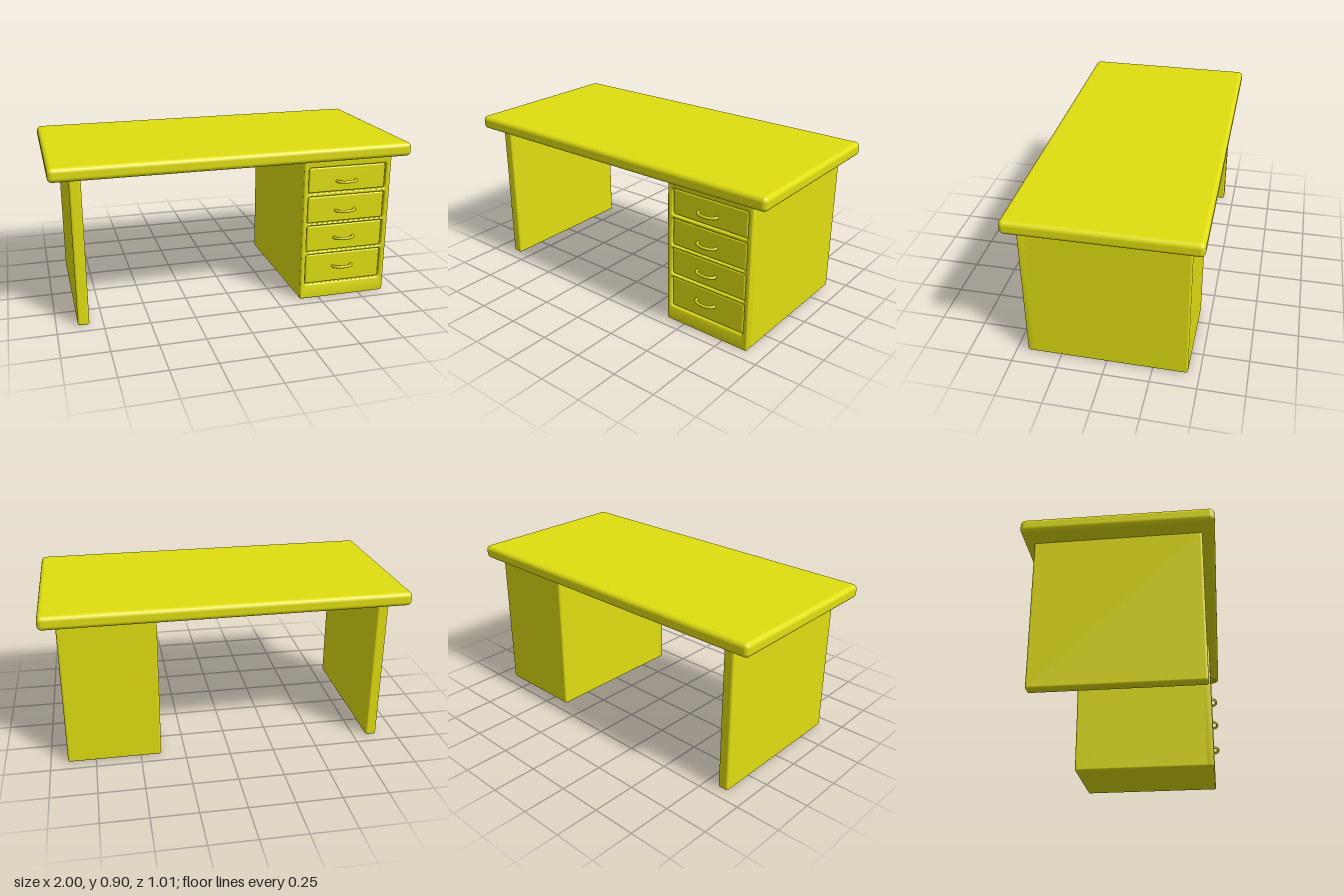
import * as THREE from 'three';
import { RoundedBoxGeometry } from 'three/addons/geometries/RoundedBoxGeometry.js';
import { toCreasedNormals } from 'three/addons/utils/BufferGeometryUtils.js';

const yellow = new THREE.MeshStandardMaterial({ color: 0xe0de10 });

function part(name, geometry) {
  const mesh = new THREE.Mesh(geometry, yellow);
  mesh.name = name;
  return mesh;
}

// Rounded box given by its minimum and maximum corners
function block(name, [x0, y0, z0], [x1, y1, z1], radius) {
  const mesh = part(name, new RoundedBoxGeometry(x1 - x0, y1 - y0, z1 - z0, 4, radius));
  mesh.position.set((x0 + x1) / 2, (y0 + y1) / 2, (z0 + z1) / 2);
  return mesh;
}

function rectangle(Type, x0, y0, x1, y1, r) {
  const p = new Type();
  p.moveTo(x0 + r, y0);
  p.lineTo(x1 - r, y0);
  p.absarc(x1 - r, y0 + r, r, -Math.PI / 2, 0);
  p.lineTo(x1, y1 - r);
  p.absarc(x1 - r, y1 - r, r, 0, Math.PI / 2);
  p.lineTo(x0 + r, y1);
  p.absarc(x0 + r, y1 - r, r, Math.PI / 2, Math.PI);
  p.lineTo(x0, y0 + r);
  p.absarc(x0 + r, y0 + r, r, Math.PI, Math.PI * 1.5);
  return p;
}

// Bowed pull: a slim tube whose ends run back into the drawer front
function handle(y, front) {
  const path = new THREE.CatmullRomCurve3([
    [-0.056, front - 0.01], [-0.054, front + 0.014], [-0.035, front + 0.029],
    [0, front + 0.035], [0.035, front + 0.029], [0.054, front + 0.014], [0.056, front - 0.01],
  ].map(([x, z]) => new THREE.Vector3(0.638 + x, y, z)));
  return part('drawerHandle', new THREE.TubeGeometry(path, 32, 0.008, 10));
}

export function createModel() {
  const desk = new THREE.Group();
  desk.name = 'desk';

  // Worktop, set very slightly askew on its supports
  const top = block('desktop', [-0.996, 0.828, -0.496], [0.996, 0.905, 0.496], 0.026);
  top.rotation.y = 0.0075;
  desk.add(top);

  // Single panel leg
  desk.add(block('panelLeg', [-0.886, 0, -0.437], [-0.824, 0.84, 0.437], 0.012));

  // Drawer cabinet carcass
  const cabinet = new THREE.Group();
  cabinet.name = 'drawerCabinet';
  cabinet.add(block('cabinetBody', [0.385, 0, -0.438], [0.905, 0.84, 0.417], 0.012));

  // Face frame with an opening for each drawer
  const drawers = [[0.64, 0.782], [0.462, 0.614], [0.29, 0.442], [0.092, 0.268]];
  const handleHeights = [0.7, 0.528, 0.364, 0.188];
  const frame = rectangle(THREE.Shape, 0.385, 0, 0.905, 0.84, 0.012);
  for (const [y0, y1] of drawers) {
    frame.holes.push(rectangle(THREE.Path, 0.413, y0 - 0.003, 0.877, y1 + 0.003, 0.014));
  }
  const bevel = 0.008;
  const frameGeometry = new THREE.ExtrudeGeometry(frame, {
    depth: 0.034, bevelThickness: bevel, bevelSize: bevel, bevelOffset: -bevel,
    bevelSegments: 3, curveSegments: 5,
  });
  frameGeometry.translate(0, 0, 0.437 - 0.034 - bevel);
  cabinet.add(part('faceFrame', toCreasedNormals(frameGeometry, 0.7)));

  // Drawer fronts and their pulls
  const front = 0.43;
  drawers.forEach(([y0, y1], i) => {
    cabinet.add(block('drawerFront', [0.417, y0, 0.39], [0.873, y1, front], 0.008));
    cabinet.add(handle(handleHeights[i], front));
  });
  desk.add(cabinet);
  return desk;
}
